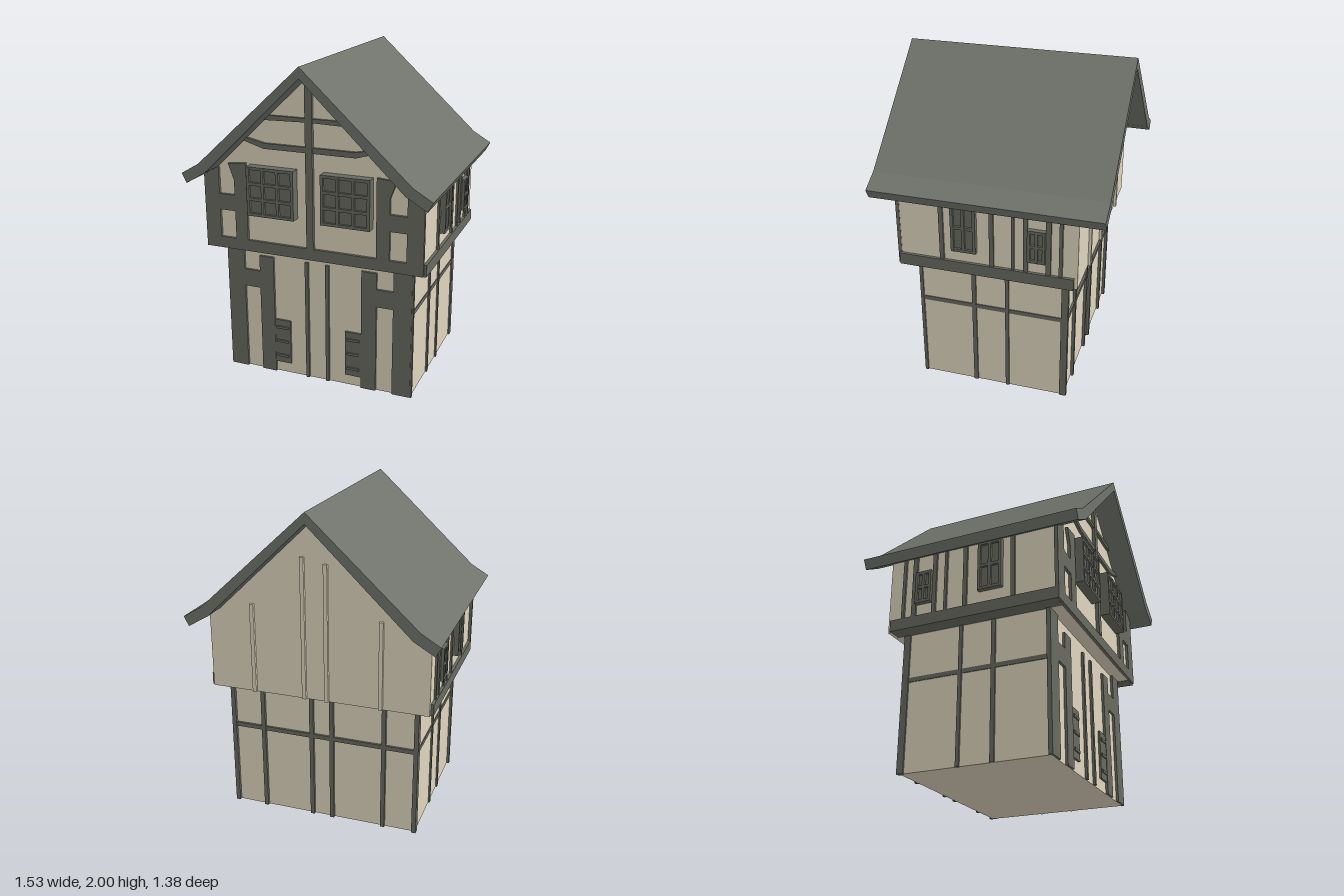
import * as THREE from 'three';

const mat = (color) => new THREE.MeshStandardMaterial({ color });
const plaster = mat(0xded5bd);
const timber = mat(0x686a60);
const tiles = mat(0x70736c);

function add(parent, name, geometry, material) {
  const mesh = new THREE.Mesh(geometry, material);
  mesh.name = name;
  parent.add(mesh);
  return mesh;
}

// Box given by its two corners
function block(parent, name, [x0, x1], [y0, y1], [z0, z1], material = timber) {
  const mesh = add(parent, name, new THREE.BoxGeometry(x1 - x0, y1 - y0, z1 - z0), material);
  mesh.position.set((x0 + x1) / 2, (y0 + y1) / 2, (z0 + z1) / 2);
  return mesh;
}

// Outline in x,y extruded from z0 to z1
function slab(parent, name, points, z0, z1, material = timber) {
  const shape = new THREE.Shape(points.map(([x, y]) => new THREE.Vector2(x, y)));
  const geometry = new THREE.ExtrudeGeometry(shape, { depth: z1 - z0, bevelEnabled: false });
  geometry.translate(0, 0, z0);
  return add(parent, name, geometry, material);
}

// Mullioned window facing +z, its back on z = 0
function makeWindow(name, w, h, depth, cols, rows) {
  const group = new THREE.Group();
  group.name = name;
  const bar = 0.018;
  block(group, 'panes', [-w / 2, w / 2], [0, h], [0, depth - 0.015]);
  for (let i = 0; i <= cols; i++) {
    const x = -w / 2 + bar / 2 + (i * (w - bar)) / cols;
    block(group, 'upright', [x - bar / 2, x + bar / 2], [0, h], [depth - 0.016, depth]);
  }
  for (let j = 0; j <= rows; j++) {
    const y = bar / 2 + (j * (h - bar)) / rows;
    block(group, 'crossbar', [-w / 2, w / 2], [y - bar / 2, y + bar / 2], [depth - 0.016, depth - 0.001]);
  }
  return group;
}

function addFront(house) {
  const front = new THREE.Group();
  front.name = 'frontTimbers';
  front.position.x = -0.008;
  house.add(front);
  const low = [0.44, 0.465];
  const up = [0.53, 0.552];

  block(front, 'jettyBeam', [-0.69, 0.69], [0.84, 0.91], up);
  block(front, 'kingPost', [-0.022, 0.022], [0.91, 1.95], [0.53, 0.556]);

  for (const s of [-1, 1]) {
    const span = (a, b) => (s > 0 ? [a, b] : [-b, -a]);
    // Ground floor
    block(front, 'cornerPost', span(0.488, 0.603), [0, 0.84], low);
    block(front, 'shortRail', span(0.383, 0.488), [0.565, 0.677], low);
    block(front, 'doorPost', span(0.288, 0.383), [0, 0.78], low);
    block(front, 'thinPost', span(0.056, 0.078), [0, 0.78], low);
    // Shutter with slots between raised frames
    block(front, 'shutter', span(0.183, 0.288), [0.07, 0.365], [0.44, 0.462]);
    for (const y of [0.12, 0.22, 0.315]) {
      block(front, 'shutterRib', span(0.195, 0.277), [y - 0.008, y + 0.008], [0.46, 0.47]);
    }
    // Upper floor
    block(front, 'upperCornerPost', span(0.59, 0.69), [0.91, 1.35], up);
    block(front, 'upperRail', span(0.488, 0.59), [1.085, 1.185], up);
    slab(front, 'flaredPost', [[0.408, 0.91], [0.488, 0.91], [0.488, 1.28], [0.525, 1.38], [0.408, 1.39]]
      .map(([x, y]) => [s * x, y]), ...up);
    // Collar braces in the gable
    slab(front, 'lowerCollar', [[0, 1.49], [0.285, 1.49], [0.42, 1.53], [0.4, 1.548], [0.28, 1.523], [0, 1.523]]
      .map(([x, y]) => [s * x, y]), ...up);
    slab(front, 'upperCollar', [[0, 1.667], [0.28, 1.66], [0.255, 1.69], [0, 1.69]]
      .map(([x, y]) => [s * x, y]), ...up);

    const win = makeWindow('frontWindow', 0.3, 0.3, 0.065, 3, 3);
    win.position.set(s * 0.234, 1.085, 0.53);
    front.add(win);
  }
}

function addSide(house, s) {
  const side = new THREE.Group();
  side.name = s > 0 ? 'leftTimbers' : 'rightTimbers';
  house.add(side);
  const span = (a, b) => (s > 0 ? [a, b] : [-b, -a]);
  // Ground floor posts and rail
  for (const [z, w] of [[0.452, 0.02], [0.115, 0.026], [-0.092, 0.022], [-0.447, 0.042]]) {
    block(side, 'sidePost', span(0.58, 0.605), [0, 0.84], [z - w / 2, z + w / 2]);
  }
  block(side, 'sideRail', span(0.58, 0.6), [0.54, 0.567], [-0.45, 0.45]);
  // Upper floor beam and studs
  block(side, 'sideBeam', span(0.6, 0.698), [0.838, 0.91], [-0.515, 0.54]);
  for (const [z, w] of [[0.273, 0.026], [-0.03, 0.026], [-0.157, 0.018], [-0.232, 0.026], [-0.365, 0.03], [-0.437, 0.02]]) {
    block(side, 'sideStud', span(0.66, 0.692), [0.9, 1.32], [z - w / 2, z + w / 2]);
  }
  for (const [z, w, h, rows] of [[0.134, 0.15, 0.31, 2], [-0.298, 0.105, 0.205, 2]]) {
    const win = makeWindow('sideWindow', w, h, 0.04, 2, rows);
    win.position.set(s * 0.67, 0.985, z);
    win.rotation.y = (s * Math.PI) / 2;
    side.add(win);
  }
}

function addBack(house) {
  const back = new THREE.Group();
  back.name = 'backTimbers';
  house.add(back);
  for (const x of [-0.59, -0.39, -0.06, 0.07, 0.39, 0.59]) {
    block(back, 'backPost', [x - 0.013, x + 0.013], [0, 0.84], [-0.468, -0.44]);
  }
  block(back, 'backRail', [-0.59, 0.59], [0.54, 0.567], [-0.463, -0.44]);
  for (const [x, top] of [[-0.39, 1.38], [-0.06, 1.68], [0.08, 1.71], [0.4, 1.4]]) {
    block(back, 'backStud', [x - 0.012, x + 0.012], [0.842, top], [-0.552, -0.53], plaster);
  }
}

export function createModel() {
  const house = new THREE.Group();
  house.name = 'timberFramedHouse';

  // Plastered walls
  block(house, 'groundFloorWalls', [-0.595, 0.595], [0, 0.85], [-0.45, 0.45], plaster);
  slab(house, 'upperFloorWalls', [[-0.68, 0.84], [0.68, 0.84], [0.68, 1.32], [0.63, 1.36], [0, 1.96], [-0.63, 1.36], [-0.68, 1.32]],
    -0.535, 0.535, plaster);

  // Roof with kicked-out eaves
  const outer = [[0.765, 1.332], [0.65, 1.4]];
  const inner = [[0.61, 1.348], [0.735, 1.275]];
  const flip = (list) => list.map(([x, y]) => [-x, y]).reverse();
  slab(house, 'roof', [...outer, [0, 2], ...flip(outer), ...flip(inner), [0, 1.935], ...inner], -0.693, 0.69, tiles);

  addFront(house);
  addSide(house, 1);
  addSide(house, -1);
  addBack(house);
  return house;
}
